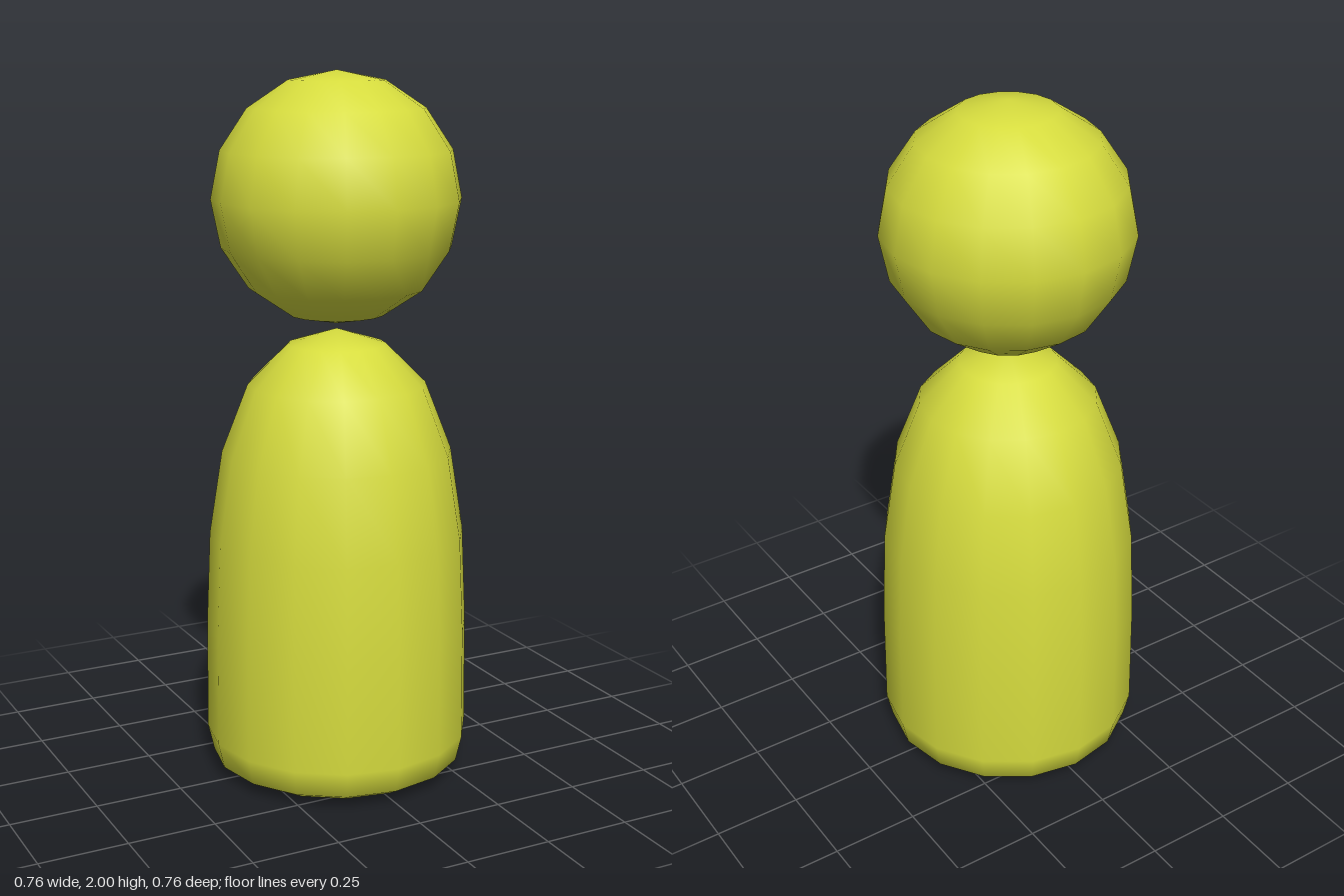
import * as THREE from 'three';

const SIDES = 16;

export function createModel() {
  const group = new THREE.Group();
  group.name = 'pawnFigure';
  const material = new THREE.MeshStandardMaterial({ color: 0xd6dc3e });

  // Body: rounded base, straight flank, tapering dome (radius, height)
  const profile = [
    [0, 0], [0.32, 0.012], [0.363, 0.036], [0.38, 0.11], [0.377, 0.43],
    [0.365, 0.7], [0.327, 0.94], [0.252, 1.133], [0.138, 1.247], [0, 1.29],
  ].map(([r, y]) => new THREE.Vector2(r, y));
  const bodyGeometry = new THREE.LatheGeometry(profile, SIDES);

  // Straight normals at both poles keep the shading smooth
  const { position, normal } = bodyGeometry.attributes;
  for (let i = 0; i < position.count; i++) {
    if (Math.hypot(position.getX(i), position.getZ(i)) < 1e-6) {
      normal.setXYZ(i, 0, position.getY(i) > 0.5 ? 1 : -1, 0);
    }
  }
  const body = new THREE.Mesh(bodyGeometry, material);
  body.name = 'body';

  // Head: a ball floating just above the body
  const head = new THREE.Mesh(new THREE.SphereGeometry(0.348, SIDES, 8), material);
  head.name = 'head';
  head.position.y = 1.652;

  group.add(body, head);
  return group;
}
